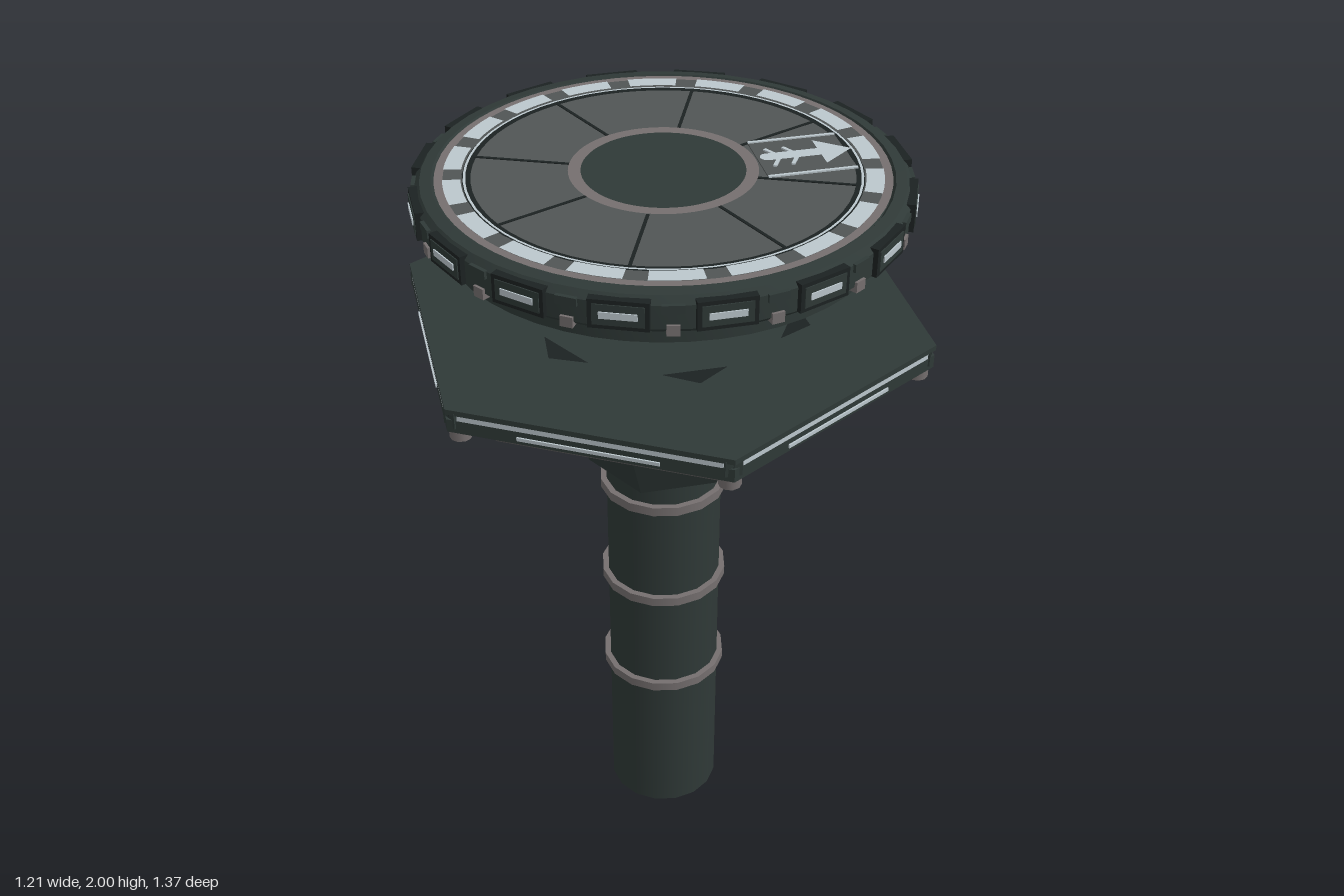
import * as THREE from 'three';
import { toCreasedNormals } from 'three/addons/utils/BufferGeometryUtils.js';

const colour = (name, hex) => {
  const m = new THREE.MeshStandardMaterial({ color: hex });
  m.name = name;
  return m;
};

export function createModel() {
  const model = new THREE.Group();
  model.name = 'pedestal';

  const dark = colour('dark green metal', 0x2f3937);
  const black = colour('black trim', 0x1c2222);
  const grey = colour('dark grey panel', 0x515555);
  const housingGrey = colour('housing grey', 0x535252);
  const ringGrey = colour('warm grey ring', 0x756f6f);
  const light = colour('pale light', 0xbcc7cd);
  const steel = colour('pale steel', 0xa9adb0);

  const add = (name, geometry, material, x = 0, y = 0, z = 0, parent = model) => {
    const mesh = new THREE.Mesh(geometry, material);
    mesh.name = name;
    mesh.position.set(x, y, z);
    parent.add(mesh);
    return mesh;
  };
  const box = (w, h, d) => new THREE.BoxGeometry(w, h, d);
  const flat = (geometry) => geometry.rotateX(-Math.PI / 2);
  // Upright cylinder or frustum between two heights
  const drum = (name, rTop, rBottom, y0, y1, sides, material) => {
    const g = new THREE.CylinderGeometry(rTop, rBottom, y1 - y0, sides);
    return add(name, sides === 6 ? toCreasedNormals(g, 0.5) : g, material, 0, (y0 + y1) / 2);
  };
  // Repeats a part around the y axis; +z is outward inside each copy
  const around = (name, count, startDeg, build) => {
    for (let i = 0; i < count; i++) {
      const g = new THREE.Group();
      g.name = name;
      g.rotation.y = THREE.MathUtils.degToRad(startDeg + (i * 360) / count);
      build(g);
      model.add(g);
    }
  };
  const lathe = (name, points, segments, material) => {
    const g = new THREE.LatheGeometry(points.map(([r, y]) => new THREE.Vector2(r, y)), segments);
    return add(name, toCreasedNormals(g, 0.6), material);
  };

  // Column with three bands
  drum('column', 0.155, 0.155, 0, 1.18, 16, dark);
  for (const y of [0.475, 0.79, 1.1]) drum('columnBand', 0.171, 0.171, y - 0.013, y + 0.013, 16, ringGrey);

  // Six-sided funnel, turned so its corners lie on x
  drum('funnel', 0.335, 0.2, 1.18, 1.475, 6, dark).rotation.y = Math.PI / 6;

  // Platform
  drum('platformHousing', 0.547, 0.547, 1.475, 1.57, 6, housingGrey);
  drum('platformPlate', 0.683, 0.683, 1.568, 1.602, 6, dark);
  drum('platformGroove', 0.676, 0.676, 1.602, 1.616, 6, black);
  drum('platformTop', 0.685, 0.685, 1.616, 1.63, 6, dark);

  // Lights on every platform side
  around('platformSideLights', 6, 30, (g) => {
    add('edgeLight', box(0.63, 0.013, 0.009), light, 0, 1.609, 0.588, g);
    add('lowerLight', box(0.34, 0.009, 0.007), light, 0, 1.583, 0.592, g);
    add('housingLightFrame', box(0.1, 0.026, 0.006), black, 0, 1.52, 0.473, g);
    add('housingLight', box(0.085, 0.017, 0.008), light, 0, 1.52, 0.475, g);
  });

  // Corner clamps, feet and top vents
  const ventShape = new THREE.Shape([
    new THREE.Vector2(-0.08, 0), new THREE.Vector2(0, -0.055), new THREE.Vector2(0.08, 0),
  ]);
  around('platformCorner', 6, 0, (g) => {
    add('cornerClamp', box(0.04, 0.04, 0.035), dark, 0, 1.6, 0.658, g);
    add('cornerFoot', new THREE.CylinderGeometry(0.027, 0.027, 0.035, 10), ringGrey, 0, 1.556, 0.645, g);
    add('vent', flat(new THREE.ShapeGeometry(ventShape)), black, 0, 1.632, 0.32, g);
  });

  // Neck
  drum('neckCone', 0.045, 0.16, 1.628, 1.685, 6, dark);
  lathe('neckShaft', [[0.04, 1.68], [0.04, 1.7], [0.034, 1.705], [0.034, 1.77]], 20, dark);
  drum('neckBand', 0.041, 0.041, 1.715, 1.724, 20, steel);
  lathe('neckCollar', [
    [0, 1.755], [0.035, 1.755], [0.046, 1.765], [0.046, 1.808], [0.075, 1.812],
    [0.087, 1.822], [0.087, 1.835], [0.075, 1.846], [0.04, 1.855],
  ], 24, steel);

  // Turntable body
  lathe('turntable', [
    [0, 1.85], [0.535, 1.85], [0.535, 1.905], [0.578, 1.905], [0.59, 1.917], [0.59, 1.975],
    [0.575, 1.992], [0.548, 1.996], [0.54, 1.984], [0, 1.984],
  ], 48, dark);

  // Rim panels with lights, and studs between them
  around('rimPanel', 16, 0, (g) => {
    add('panelFrame', box(0.135, 0.07, 0.025), black, 0, 1.951, 0.585, g);
    add('panelFace', box(0.115, 0.05, 0.006), dark, 0, 1.951, 0.597, g);
    add('panelLight', box(0.085, 0.016, 0.006), light, 0, 1.951, 0.6, g);
  });
  around('rimStud', 16, 11.25, (g) => {
    add('lowerStud', box(0.03, 0.026, 0.025), ringGrey, 0, 1.916, 0.583, g);
    add('upperStud', box(0.05, 0.02, 0.016), dark, 0, 1.968, 0.588, g);
  });

  // Flat rings and floor on top of the turntable
  const ring = (name, inner, outer, y, material, start = 0, sweep = Math.PI * 2) =>
    add(name, flat(new THREE.RingGeometry(inner, outer, sweep < 6 ? 4 : 64, 1, start, sweep)), material, 0, y);
  ring('outerTrim', 0.52, 0.541, 1.994, ringGrey);
  ring('lightTrack', 0.475, 0.525, 1.992, grey);
  ring('darkGroove', 0.455, 0.476, 1.992, black);
  ring('thinLight', 0.467, 0.473, 1.994, light);
  ring('floor', 0.2, 0.46, 1.991, grey);
  ring('hubTrim', 0.196, 0.226, 1.997, ringGrey);
  add('hub', flat(new THREE.CircleGeometry(0.2, 48)), dark, 0, 1.995);
  const deg = Math.PI / 180;
  for (let i = 0; i < 18; i++) ring('ringLight', 0.478, 0.521, 1.996, light, (i * 20 - 7) * deg, 14 * deg);
  around('floorSeam', 8, 22.5, (g) => {
    add('seam', box(0.008, 0.004, 0.24), black, 0, 1.991, 0.34, g);
  });

  // Direction arrow in its lane
  add('arrowLane', box(0.22, 0.004, 0.18), grey, 0.342, 1.992, 0);
  for (const side of [-1, 1]) {
    add('laneLine', box(0.22, 0.004, 0.008), light, 0.342, 1.995, side * 0.092);
    for (const x of [0.272, 0.317]) {
      add('arrowFeather', box(0.045, 0.004, 0.009), light, x, 1.996, side * 0.026).rotation.y = side * 1.05;
    }
  }
  const arrow = new THREE.Shape();
  arrow.moveTo(0.255, -0.018);
  arrow.lineTo(0.385, -0.018);
  arrow.lineTo(0.385, -0.062);
  arrow.lineTo(0.465, 0);
  arrow.lineTo(0.385, 0.062);
  arrow.lineTo(0.385, 0.018);
  arrow.lineTo(0.255, 0.018);
  arrow.absarc(0.255, 0, 0.018, Math.PI / 2, Math.PI * 1.5, false);
  add('arrow', flat(new THREE.ShapeGeometry(arrow)), light, 0, 1.999);

  return model;
}
